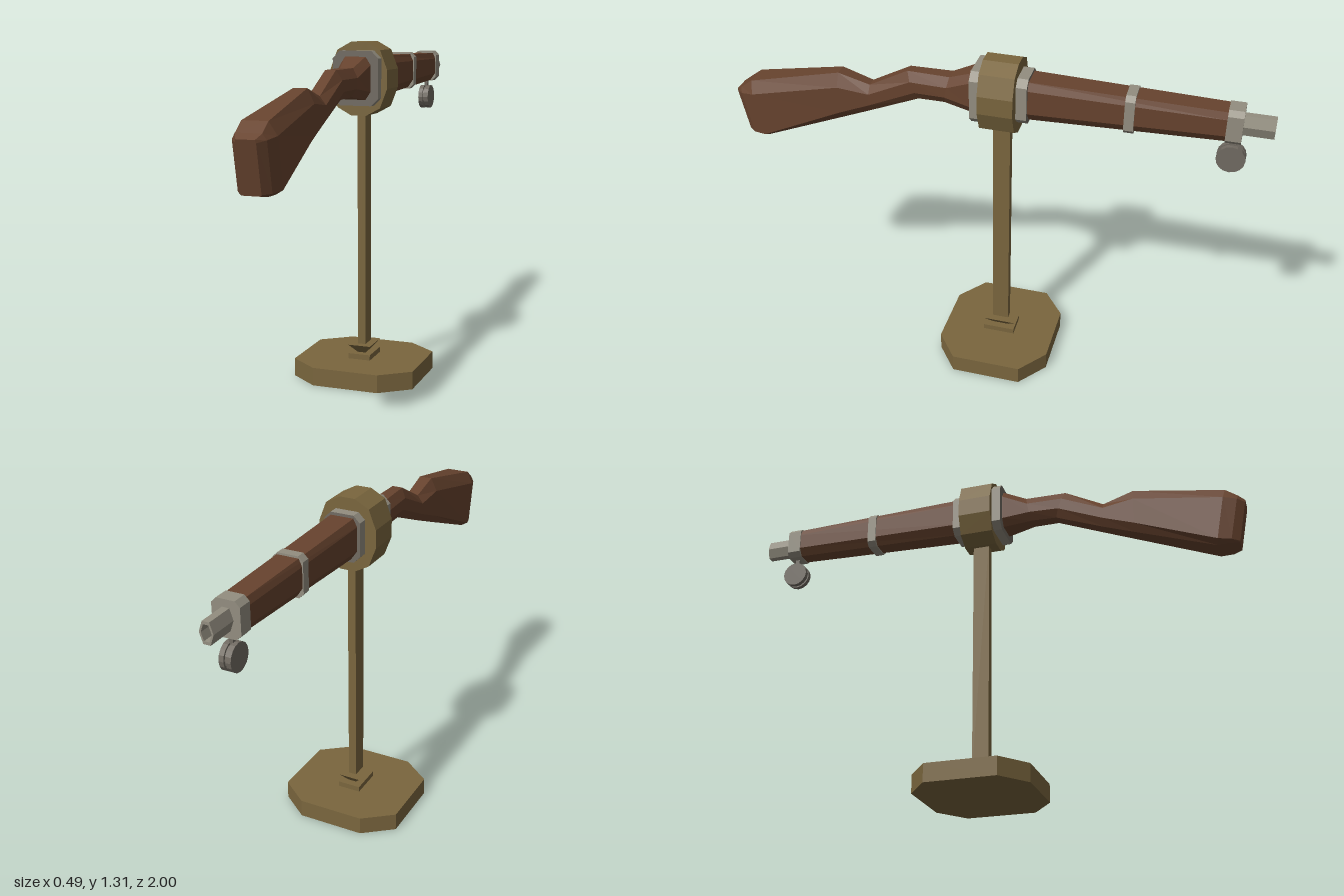
import * as THREE from 'three';

const mat = (name, color) => {
  const m = new THREE.MeshStandardMaterial({ color, flatShading: true });
  m.name = name;
  return m;
};

// Loft of chamfered sections running from +z to -z.
// Section: [zTop, yTop, zBottom, yBottom, halfWidth, topHalfWidth, bottomHalfWidth, topChamfer, bottomChamfer]
function loft(sections) {
  const rings = sections.map(([zT, yT, zB, yB, w, wt, wb, ct, cb]) => {
    const half = [[wb, yB], [w, yB + cb], [w, yT - ct], [wt, yT]];
    const ring = [...half, ...half.slice().reverse().map(([x, y]) => [-x, y])];
    return ring.map(([x, y]) => [x, y, zB + (zT - zB) * (y - yB) / (yT - yB)]);
  });
  const pos = [];
  const tri = (a, b, c) => pos.push(...a, ...b, ...c);
  for (let k = 0; k + 1 < rings.length; k++) {
    const a = rings[k], b = rings[k + 1];
    for (let i = 0; i < 8; i++) {
      const j = (i + 1) % 8;
      tri(a[i], b[i], a[j]);
      tri(a[j], b[i], b[j]);
    }
  }
  const sideCount = pos.length / 3;
  const f = rings[0], r = rings[rings.length - 1];
  for (let i = 1; i < 7; i++) {
    tri(f[0], f[i], f[i + 1]);
    tri(r[0], r[i + 1], r[i]);
  }
  const g = new THREE.BufferGeometry();
  g.setAttribute('position', new THREE.Float32BufferAttribute(pos, 3));
  g.addGroup(0, sideCount, 0);
  g.addGroup(sideCount, pos.length / 3 - sideCount, 1);
  g.computeVertexNormals();
  return g;
}

const outline = (pts) => new THREE.Shape(pts.map(([x, y]) => new THREE.Vector2(x, y)));
const extrude = (shape, depth) => new THREE.ExtrudeGeometry(shape, { depth, bevelEnabled: false });

export function createModel() {
  const root = new THREE.Group();
  const brass = mat('brass', 0x7a663e);
  const wood = mat('wood', 0x67432e);
  const steel = mat('steel', 0x938e80);
  const darkSteel = mat('dark steel', 0x716b62);

  const add = (name, geometry, material, x = 0, y = 0, z = 0) => {
    const m = new THREE.Mesh(geometry, material);
    m.name = name;
    m.position.set(x, y, z);
    root.add(m);
    return m;
  };

  const standZ = -0.043;

  // Stand: octagonal base, stepped foot, post
  const base = extrude(outline([
    [-0.13, -0.222], [0.13, -0.222], [0.243, -0.135], [0.243, 0.135],
    [0.13, 0.222], [-0.13, 0.222], [-0.243, 0.135], [-0.243, -0.135],
  ]), 0.07).rotateX(-Math.PI / 2);
  add('base', base, brass, 0, 0, standZ);
  add('footPlate', new THREE.BoxGeometry(0.09, 0.022, 0.125), brass, 0, 0.08, standZ);
  const foot = loft([
    [0.0175, 0.0625, 0.0175, -0.0625, 0.045, 0.045, 0.045, 0.01, 0.01],
    [-0.0175, 0.032, -0.0175, -0.032, 0.016, 0.016, 0.016, 0.01, 0.01],
  ]).rotateX(Math.PI / 2).scale(1, -1, 1);
  // mirrored vertically, so restore the winding
  const p = foot.attributes.position;
  for (let i = 0; i < p.count; i += 3) {
    const b = new THREE.Vector3().fromBufferAttribute(p, i + 1);
    const c = new THREE.Vector3().fromBufferAttribute(p, i + 2);
    p.setXYZ(i + 1, c.x, c.y, c.z);
    p.setXYZ(i + 2, b.x, b.y, b.z);
  }
  foot.computeVertexNormals();
  add('footTaper', foot, [brass, brass], 0, 0.108, standZ);
  add('post', new THREE.BoxGeometry(0.032, 0.96, 0.064), brass, 0, 0.575, standZ);

  // Twelve-sided clamp holding the gun
  const quarter = [[0.113, 0.035], [0.085, 0.108], [0.03, 0.138]];
  const flip = (pts, sx, sy) => pts.map(([x, y]) => [x * sx, y * sy]);
  const ring = [
    ...quarter, ...flip(quarter, -1, 1).reverse(),
    ...flip(quarter, -1, -1), ...flip(quarter, 1, -1).reverse(),
  ];
  add('clamp', extrude(outline(ring), 0.13), brass, 0, 1.168, -0.107);

  // Stock: butt, comb, grip, receiver
  add('stock', loft([
    [1.0, 1.045, 0.965, 0.87, 0.035, 0.032, 0.032, 0.01, 0.005],
    [0.975, 1.062, 0.935, 0.866, 0.058, 0.045, 0.045, 0.02, 0.01],
    [0.93, 1.095, 0.885, 0.865, 0.071, 0.045, 0.045, 0.045, 0.015],
    [0.58, 1.17, 0.58, 0.983, 0.05, 0.025, 0.03, 0.05, 0.03],
    [0.46, 1.135, 0.46, 1.03, 0.043, 0.02, 0.025, 0.03, 0.03],
    [0.31, 1.215, 0.27, 1.108, 0.04, 0.02, 0.022, 0.035, 0.03],
    [0.15, 1.215, 0.17, 1.11, 0.045, 0.025, 0.025, 0.035, 0.03],
    [0.06, 1.252, 0.06, 1.093, 0.06, 0.04, 0.04, 0.03, 0.03],
    [0.0, 1.255, 0.0, 1.09, 0.06, 0.04, 0.04, 0.03, 0.03],
  ]), [wood, wood]);

  // Straight fore-end
  add('foreEnd', loft([
    [-0.1, 1.25, -0.1, 1.092, 0.06, 0.045, 0.035, 0.03, 0.035],
    [-0.85, 1.235, -0.85, 1.117, 0.048, 0.038, 0.028, 0.025, 0.03],
  ]), [wood, wood]);

  // Metal collars, band and nose cap
  const collar = (name, z0, z1, top, bottom, w, chamfer, cap) =>
    add(name, loft([z0, z1].map((z) =>
      [z, top, z, bottom, w, w - chamfer, w - chamfer, chamfer, chamfer])), [steel, cap]);
  collar('frontCollar', 0.058, 0.02, 1.274, 1.07, 0.09, 0.028, darkSteel);
  collar('rearCollar', -0.1, -0.147, 1.26, 1.082, 0.07, 0.025, darkSteel);
  collar('middleBand', -0.49, -0.525, 1.249, 1.1, 0.057, 0.018, steel);
  collar('noseCap', -0.838, -0.893, 1.243, 1.113, 0.051, 0.018, steel);

  // Hollow hexagonal barrel
  const hex = (rx, ry) => Array.from({ length: 6 }, (_, i) => {
    const a = i * Math.PI / 3;
    return [Math.cos(a) * rx, Math.sin(a) * ry];
  });
  const muzzle = outline(hex(0.026, 0.044));
  muzzle.holes.push(outline(hex(0.019, 0.032)));
  add('barrel', extrude(muzzle, 0.12), steel, 0, 1.178, -1.0);
  add('barrelPlug', new THREE.BoxGeometry(0.02, 0.055, 0.01), darkSteel, 0, 1.178, -0.9);

  // Round swivel under the muzzle
  add('swivelStem', new THREE.BoxGeometry(0.014, 0.05, 0.018), darkSteel, 0, 1.1, -0.866);
  for (const s of [-1, 1]) {
    add('swivelDisc', new THREE.CylinderGeometry(0.051, 0.051, 0.018, 16).rotateZ(Math.PI / 2),
      darkSteel, s * 0.013, 1.04, -0.866);
  }
  add('swivelCore', new THREE.CylinderGeometry(0.044, 0.044, 0.02, 16).rotateZ(Math.PI / 2),
    darkSteel, 0, 1.04, -0.866);

  return root;
}
